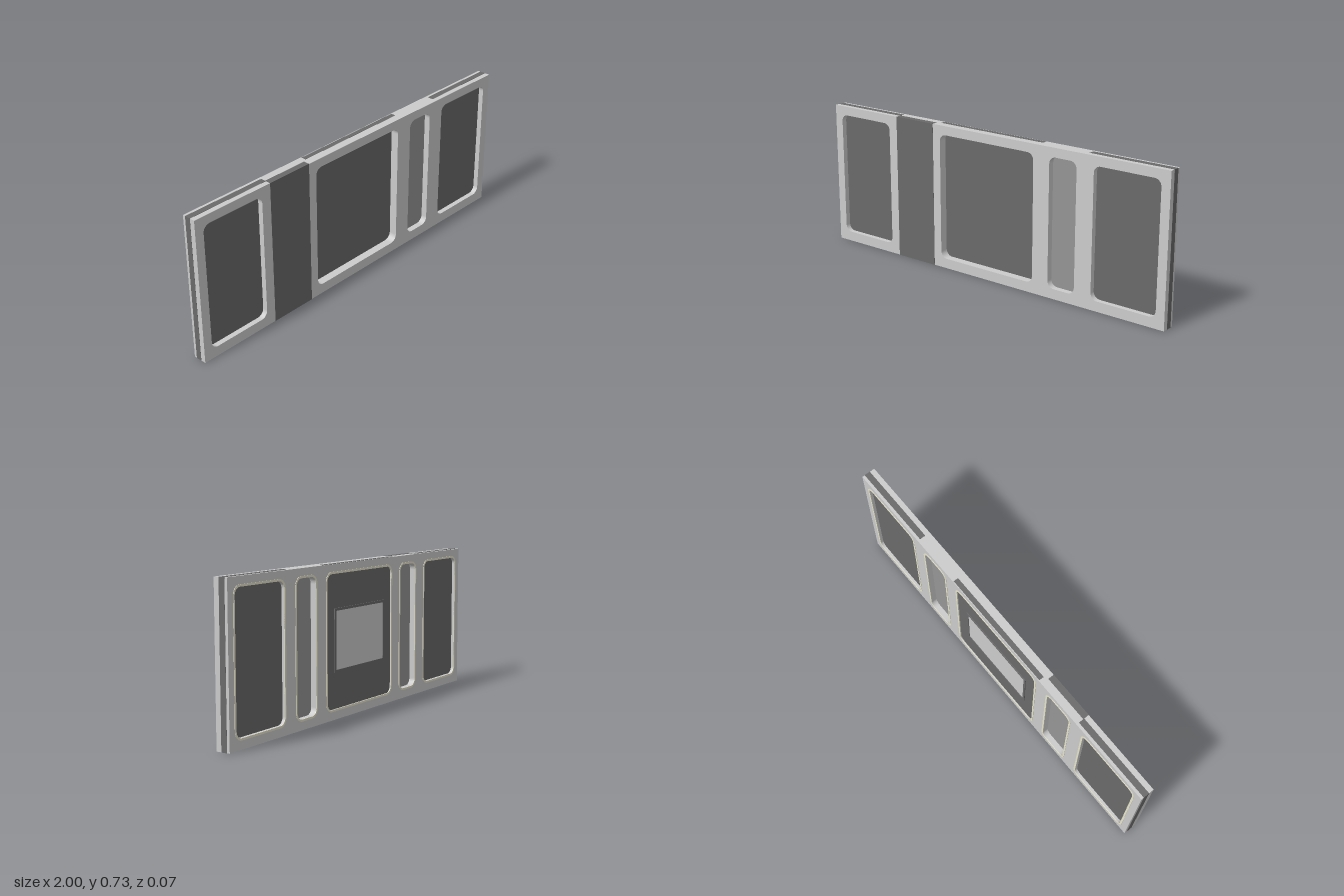
import * as THREE from 'three';

const W = 2, H = 0.73, BACK = -0.034, FRONT = 0.036;
const Y0 = 0.05, Y1 = 0.685, RADIUS = 0.035;
const E = 0.0006; // inserts stand a hair proud of the frame edges

// Rounded rectangle outline, used for openings and trim
function rounded(target, x0, x1, y0, y1, r) {
  target.moveTo(x0 + r, y0);
  target.lineTo(x1 - r, y0);
  target.absarc(x1 - r, y0 + r, r, -Math.PI / 2, 0);
  target.lineTo(x1, y1 - r);
  target.absarc(x1 - r, y1 - r, r, 0, Math.PI / 2);
  target.lineTo(x0 + r, y1);
  target.absarc(x0 + r, y1 - r, r, Math.PI / 2, Math.PI);
  target.lineTo(x0, y0 + r);
  target.absarc(x0 + r, y0 + r, r, Math.PI, Math.PI * 1.5);
  return target;
}

function rectangle(x0, x1, y0, y1) {
  return new THREE.Shape([[x0, y0], [x1, y0], [x1, y1], [x0, y1]].map(p => new THREE.Vector2(...p)));
}

export function createModel() {
  const group = new THREE.Group();
  const mat = color => new THREE.MeshStandardMaterial({ color });
  const grey = mat(0xcccccc), dark = mat(0x6a6a6a), mid = mat(0x959595);
  const cream = mat(0xe6e4cc), pale = mat(0xe8e8e8);

  const add = (name, geometry, material) => {
    const mesh = new THREE.Mesh(geometry, material);
    mesh.name = name;
    group.add(mesh);
  };
  const extrude = (name, shape, z0, z1, material) => {
    const geometry = new THREE.ExtrudeGeometry(shape, { depth: z1 - z0, bevelEnabled: false, curveSegments: 8 });
    add(name, geometry.translate(0, 0, z0), material);
  };
  const box = (name, x0, x1, y0, y1, z0, z1, material) => {
    const geometry = new THREE.BoxGeometry(x1 - x0, y1 - y0, z1 - z0);
    add(name, geometry.translate((x0 + x1) / 2, (y0 + y1) / 2, (z0 + z1) / 2), material);
  };

  // Frame with five openings
  const openings = [[-0.955, -0.62], [-0.525, -0.375], [-0.285, 0.28], [0.37, 0.52], [0.612, 0.955]];
  const frame = rectangle(-W / 2, W / 2, 0, H);
  for (const [x0, x1] of openings) frame.holes.push(rounded(new THREE.Path(), x0, x1, Y0, Y1, RADIUS));
  extrude('frame', frame, BACK, FRONT, grey);

  // Thin trim ring round each opening at the back
  for (const [x0, x1] of openings) {
    const t = 0.01;
    const ring = rounded(new THREE.Shape(), x0 - t, x1 + t, Y0 - t, Y1 + t, RADIUS + t);
    ring.holes.push(rounded(new THREE.Path(), x0, x1, Y0, Y1, RADIUS));
    extrude('backTrim', ring, BACK - 0.002, BACK + 0.001, cream);
  }

  // Dark slabs set through the frame
  box('rightPanel', -1 - E, -0.57, -E, H + E, -0.02, 0.01, dark);
  box('leftPanel', 0.57, 1 + E, -E, H + E, -0.02, 0.01, dark);
  box('centrePanel', -0.31, 0.305, -E, H + E, -0.03, -0.005, dark);
  box('frontPanel', -0.57, -0.33, -E, H + E, 0.005, FRONT + E, dark);

  // Narrow grey infills
  for (const i of [1, 3]) {
    const [x0, x1] = openings[i];
    box('narrowInfill', x0 - 0.01, x1 + 0.01, Y0 - 0.01, Y1 + 0.01, -0.005, 0.005, mid);
  }

  // Screen with its bezel on the back of the centre panel
  const bezel = rectangle(-0.222, 0.216, 0.222, 0.524);
  bezel.holes.push(rectangle(-0.21, 0.204, 0.234, 0.512));
  extrude('screenBezel', bezel, -0.034, -0.029, dark);
  box('screen', -0.21, 0.204, 0.234, 0.512, -0.031, -0.029, pale);

  return group;
}
